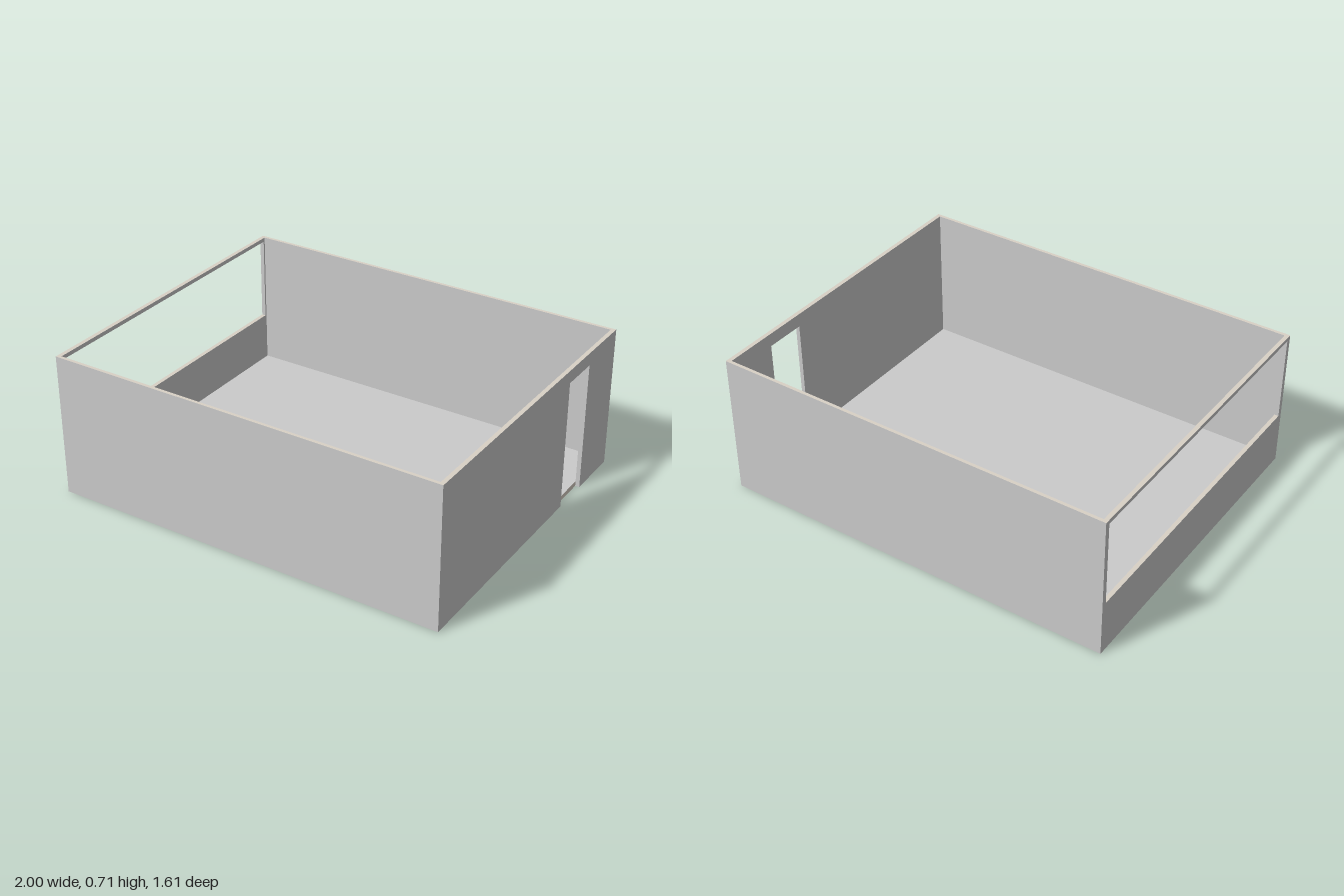
import * as THREE from 'three';

const X = 1, Z = 0.806, H = 0.715;   // outer half sizes and wall height
const TX = 0.021, TZ = 0.016;        // thickness of side and front/back walls
const FLOOR = 0.025;

export function createModel() {
  const model = new THREE.Group();
  const grey = new THREE.MeshStandardMaterial({ color: 0xcccccc });
  const beige = new THREE.MeshStandardMaterial({ color: 0xd9d1c6 });
  // Box face order: +x, -x, +y, -y, +z, -z
  const wallMaterials = [grey, grey, beige, beige, grey, grey];
  const floorMaterials = [beige, beige, grey, beige, beige, beige];

  // Box given by its lower and upper limits on each axis
  function block(parent, name, [x0, x1], [y0, y1], [z0, z1], materials = wallMaterials) {
    const mesh = new THREE.Mesh(new THREE.BoxGeometry(x1 - x0, y1 - y0, z1 - z0), materials);
    mesh.position.set((x0 + x1) / 2, (y0 + y1) / 2, (z0 + z1) / 2);
    mesh.name = name;
    parent.add(mesh);
  }

  // Floor slab, set inside the walls
  const innerX = X - TX, innerZ = Z - TZ;
  block(model, 'floor', [-innerX, innerX], [0, FLOOR], [-innerZ, innerZ], floorMaterials);

  // Solid front and back walls
  block(model, 'frontWall', [-X, X], [0, H], [innerZ, Z]);
  block(model, 'backWall', [-X, X], [0, H], [-Z, -innerZ]);

  // Left wall with a doorway towards the back
  const doorWall = new THREE.Group();
  doorWall.name = 'doorWall';
  const doorBack = -0.53, doorFront = -0.33, doorTop = 0.65;
  block(doorWall, 'wallBehindDoor', [innerX, X], [0, H], [-innerZ, doorBack]);
  block(doorWall, 'wallBeforeDoor', [innerX, X], [0, H], [doorFront, innerZ]);
  block(doorWall, 'doorLintel', [innerX, X], [doorTop, H], [doorBack, doorFront]);
  model.add(doorWall);

  // Right wall with a wide window opening
  const windowWall = new THREE.Group();
  windowWall.name = 'windowWall';
  const sill = 0.27, head = 0.695, jamb = Z - 0.025;
  block(windowWall, 'wallBelowWindow', [-X, -innerX], [0, sill], [-innerZ, innerZ]);
  block(windowWall, 'windowLintel', [-X, -innerX], [head, H], [-innerZ, innerZ]);
  block(windowWall, 'frontWindowPost', [-X, -innerX], [sill, head], [jamb, innerZ]);
  block(windowWall, 'backWindowPost', [-X, -innerX], [sill, head], [-innerZ, -jamb]);
  model.add(windowWall);

  return model;
}
